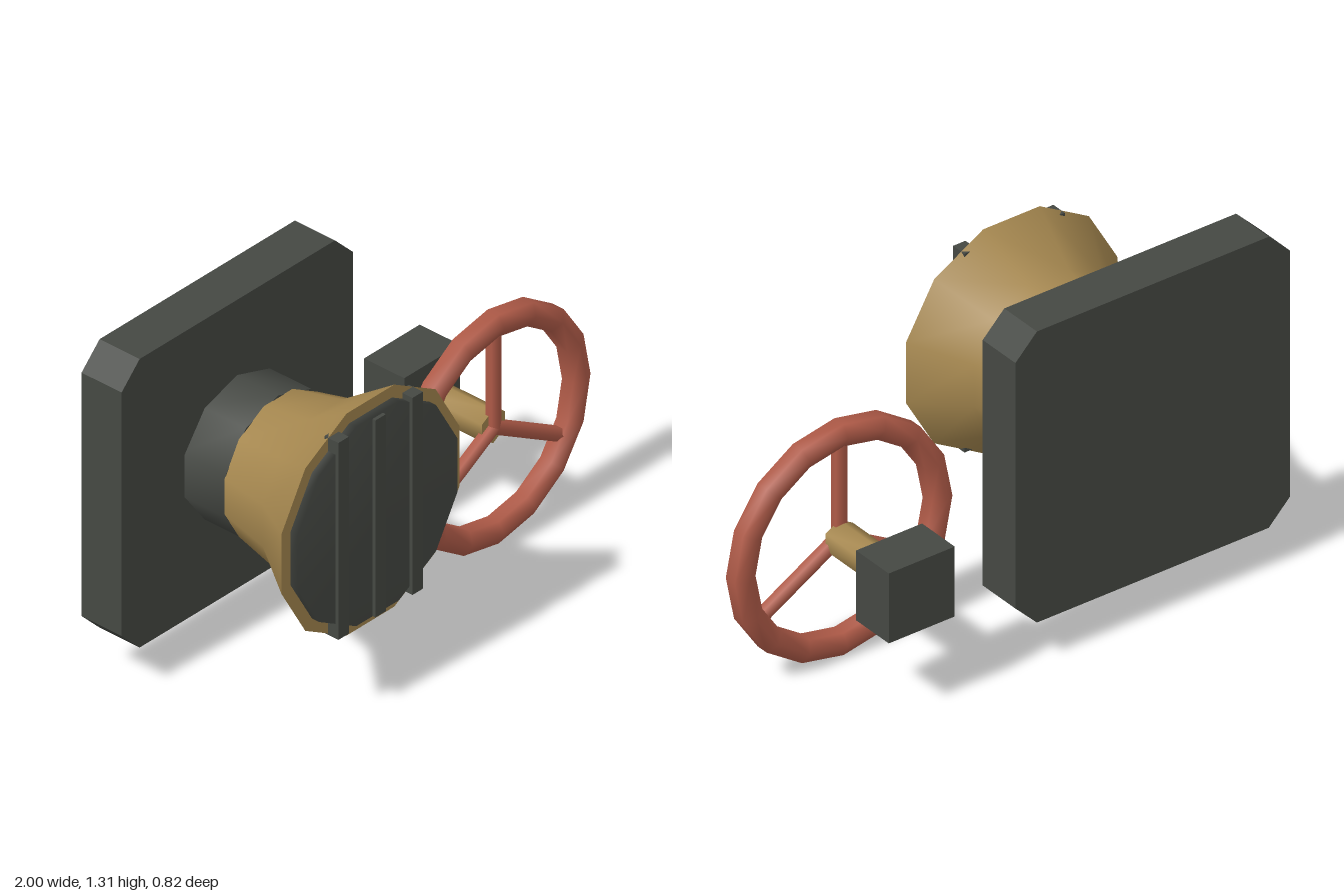
import * as THREE from 'three';
import { toCreasedNormals } from 'three/addons/utils/BufferGeometryUtils.js';

const DARK = 0x454843, BRASS = 0xa5874f, RED = 0xb25c49;

// Turned part around the z axis; profile points are [radius, z] from back to front.
function turned(profile, sides, turn = 0, crease = null) {
  const pts = profile.map(([r, z]) => new THREE.Vector2(r, z));
  const geo = new THREE.LatheGeometry(pts, sides, turn).rotateX(Math.PI / 2);
  return crease === null ? geo : toCreasedNormals(geo, crease);
}

export function createModel() {
  const model = new THREE.Group();
  const materials = {};

  function add(parent, name, geo, color, x = 0, y = 0, z = 0) {
    materials[color] ??= new THREE.MeshStandardMaterial({ color });
    const mesh = new THREE.Mesh(geo, materials[color]);
    mesh.name = name;
    mesh.position.set(x, y, z);
    parent.add(mesh);
    return mesh;
  }

  // Lamp: wall plate, neck, flared bell, lens and guard bars
  const lamp = new THREE.Group();
  lamp.name = 'lamp';
  lamp.position.set(-0.425, 0.74, 0);
  model.add(lamp);

  const h = 0.575, c = h - 0.09;
  const outline = new THREE.Shape([
    [-c, -h], [c, -h], [h, -c], [h, c], [c, h], [-c, h], [-h, c], [-h, -c],
  ].map(([x, y]) => new THREE.Vector2(x, y)));
  add(lamp, 'wallPlate', new THREE.ExtrudeGeometry(outline, { depth: 0.18, bevelEnabled: false }),
    DARK, 0, 0, -0.41);

  add(lamp, 'neck', turned([[0, -0.25], [0.275, -0.25], [0.275, -0.045], [0, -0.045]], 10, 0, 0.8), DARK);

  const turn = Math.PI / 12; // puts flat sides at top, bottom, left and right
  add(lamp, 'bell', turned([[0, -0.047], [0.275, -0.047], [0.322, 0.165], [0.458, 0.368], [0, 0.368]],
    12, turn, 0.7), BRASS);
  add(lamp, 'lens', turned([[0.411, 0.34], [0.411, 0.4], [0, 0.4]], 12, turn), DARK);

  for (const x of [-0.184, 0, 0.184]) {
    add(lamp, 'guardBar', new THREE.BoxGeometry(0.052, 0.785, 0.063), DARK, x, -0.003, 0.382);
  }

  // Valve: mounting block, shaft and spoked hand wheel
  const valve = new THREE.Group();
  valve.name = 'valve';
  valve.position.set(0.542, 0.46, 0);
  model.add(valve);

  add(valve, 'mountingBlock', new THREE.BoxGeometry(0.276, 0.276, 0.18), DARK, 0, 0, -0.32);
  add(valve, 'shaft', turned([[0, -0.25], [0.066, -0.25], [0.066, 0.045], [0, 0.045]], 6, 0, 1.2), BRASS);

  const wheel = new THREE.Group();
  wheel.name = 'handWheel';
  wheel.position.z = 0.045;
  valve.add(wheel);

  // Rim with a hexagonal section
  const section = [];
  for (let i = 0; i <= 6; i++) {
    const a = -Math.PI / 2 + i * Math.PI / 3;
    section.push([0.412 + 0.05 * Math.cos(a), 0.05 * Math.sin(a)]);
  }
  add(wheel, 'rim', turned(section, 16, 0, 1.2), RED);

  for (let i = 0; i < 3; i++) {
    const spoke = new THREE.CylinderGeometry(0.028, 0.028, 0.41, 6).translate(0, 0.205, 0);
    add(wheel, 'spoke', spoke, RED).rotation.z = i * 2 * Math.PI / 3;
  }

  return model;
}
